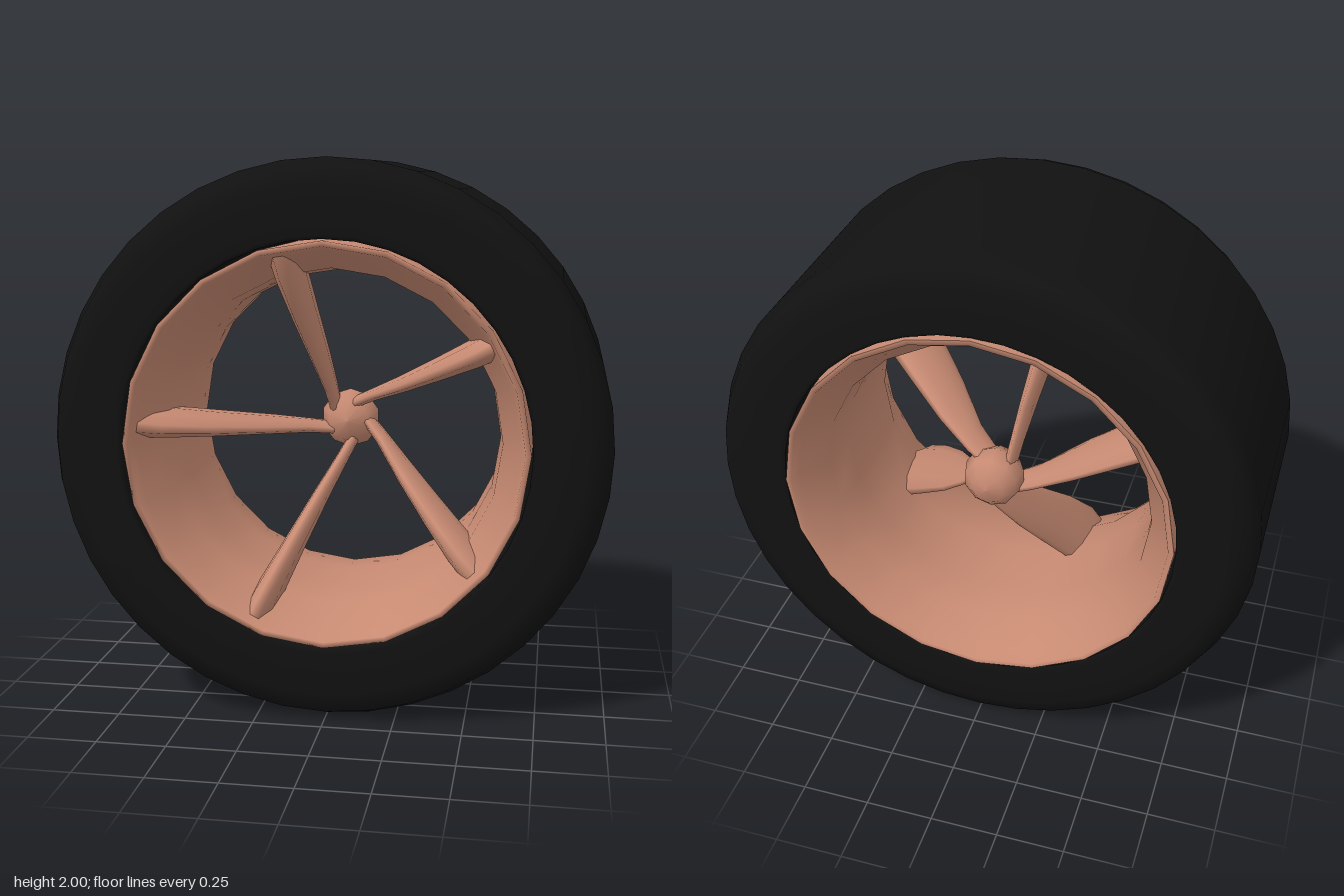
import * as THREE from 'three';

const rubber = new THREE.MeshStandardMaterial({ color: 0x111111 });
const metal = new THREE.MeshStandardMaterial({ color: 0xc78a72, side: THREE.DoubleSide });

// Revolve [radius, z] points about the wheel axle (z).
function revolve(points, sides, material, name) {
  const profile = points.map(([r, z]) => new THREE.Vector2(r, z));
  const geometry = new THREE.LatheGeometry(profile, sides).rotateX(Math.PI / 2);
  const mesh = new THREE.Mesh(geometry, material);
  mesh.name = name;
  return mesh;
}

// Loft elliptical sections along +x: [x, y, z, half thickness, half depth].
function loft(sections, sides) {
  const positions = [], index = [];
  sections.forEach(([x, y, z, thick, deep], s) => {
    for (let i = 0; i < sides; i++) {
      const a = (i / sides) * Math.PI * 2;
      positions.push(x, y + Math.cos(a) * thick, z + Math.sin(a) * deep);
      if (s === 0) continue;
      const j = (i + 1) % sides, p = (s - 1) * sides, q = s * sides;
      index.push(p + i, p + j, q + i, p + j, q + j, q + i);
    }
  });
  const geometry = new THREE.BufferGeometry();
  geometry.setAttribute('position', new THREE.Float32BufferAttribute(positions, 3));
  geometry.setIndex(index);
  geometry.computeVertexNormals();
  return geometry;
}

export function createModel() {
  const wheel = new THREE.Group();
  wheel.name = 'wheel';
  wheel.position.y = 1;

  // Wide tyre with bevelled shoulders and a closed inner wall
  wheel.add(revolve([
    [0.725, -0.45], [0.74, -0.46], [0.9, -0.46], [0.97, -0.43], [1, -0.36],
    [1, 0.36], [0.97, 0.43], [0.9, 0.46], [0.74, 0.46], [0.725, 0.45], [0.725, -0.45],
  ], 40, rubber, 'tyre'));

  // Rim barrel, flared to a lip on both sides
  wheel.add(revolve([
    [0.72, -0.46], [0.7, -0.46], [0.685, -0.42], [0.61, -0.31], [0.6, -0.15],
    [0.6, 0.1], [0.615, 0.26], [0.685, 0.41], [0.7, 0.46], [0.72, 0.46],
    [0.72, -0.46],
  ].reverse(), 20, metal, 'rim'));

  // Rounded hub set towards the back
  wheel.add(revolve([
    [0, -0.31], [0.06, -0.3], [0.1, -0.26], [0.115, -0.2], [0.08, -0.13], [0, -0.11],
  ], 10, metal, 'hub'));

  // Five blades sweeping forward from the hub to the front lip
  const blade = loft([
    [0.03, -0.045, -0.2, 0.022, 0.06],
    [0.14, -0.035, -0.14, 0.024, 0.08],
    [0.28, -0.022, -0.02, 0.031, 0.13],
    [0.45, -0.01, 0.12, 0.041, 0.16],
    [0.6, 0, 0.23, 0.051, 0.17],
    [0.7, 0.005, 0.27, 0.058, 0.16],
  ], 10);
  for (let i = 0; i < 5; i++) {
    const spoke = new THREE.Mesh(blade, metal);
    spoke.name = 'spoke' + (i + 1);
    // Mirrored so the root sits on the anticlockwise side of the hub
    spoke.scale.y = -1;
    spoke.rotation.z = THREE.MathUtils.degToRad(32 + 72 * i);
    wheel.add(spoke);
  }

  const model = new THREE.Group();
  model.add(wheel);
  return model;
}
